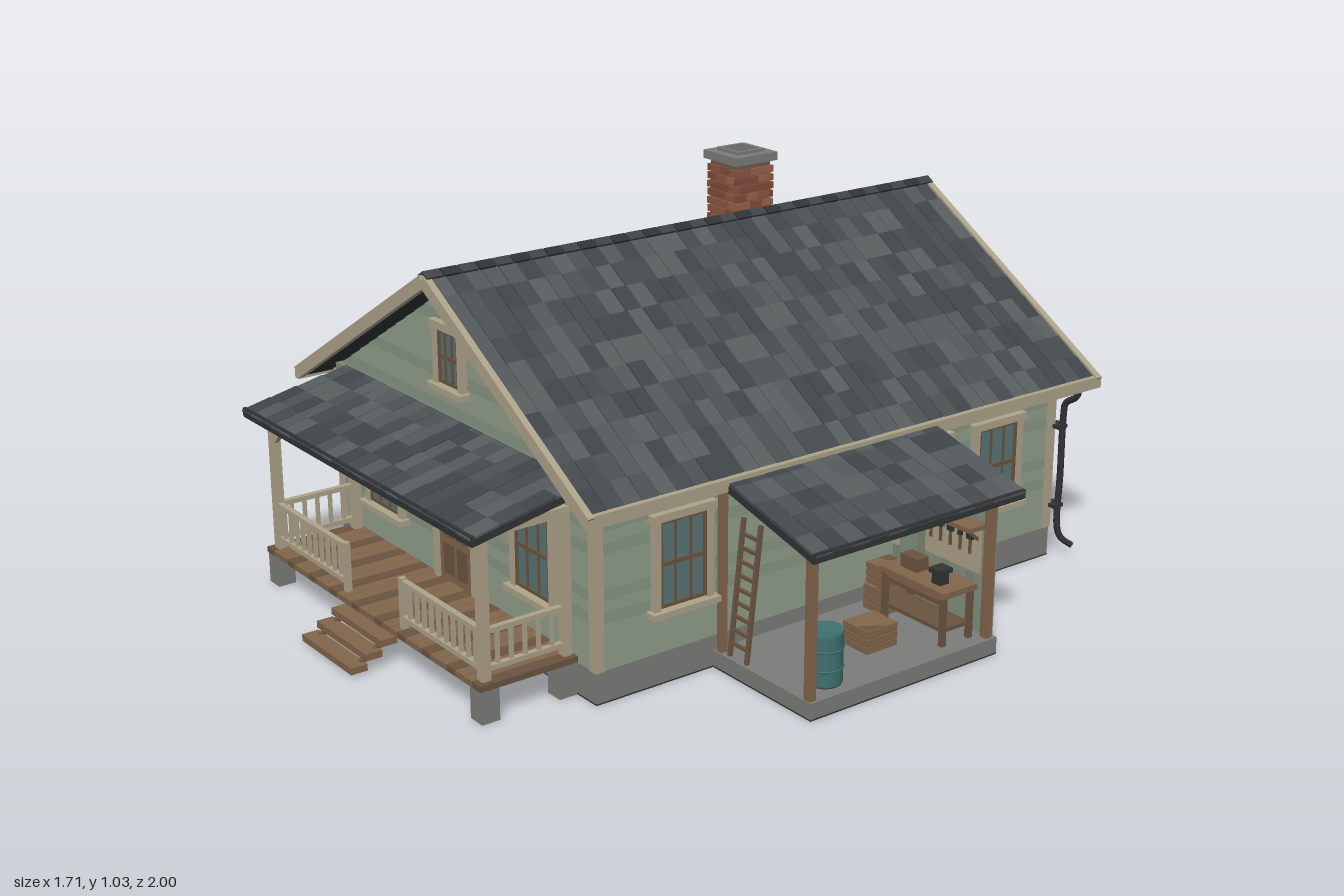
import * as THREE from 'three';
import { mergeGeometries } from 'three/addons/utils/BufferGeometryUtils.js';

const WALL = 0x84917f, WALL_DARK = 0x7b8977, TRIM = 0xada38a, STONE = 0x7c7c79, WOOD = 0x82664b, WOOD_DARK = 0x6a5440;
const GLASS = 0x5a7474, DARK = 0x303335, TEAL = 0x3f706e, MORTAR = 0x6f5a4e;
const SHINGLES = [0x43494c, 0x4a5053, 0x51575a, 0x575c5d, 0x3e4447];
const BRICKS = [0x8f5540, 0x9c6048, 0x824a38];
const CX = -0.16, FRONT = 0.6, BACK = -0.905, HALF = 0.6;

let seed = 7;
const rnd = () => (seed = (seed * 16807) % 2147483647) / 2147483647;
const pick = (list) => list[Math.floor(rnd() * list.length)];
const V = (x, y, z) => new THREE.Vector3(x, y, z);

// box by size and centre
const bx = (w, h, d, x, y, z) => new THREE.BoxGeometry(w, h, d).translate(x, y, z);
// box by its limits
const span = (x0, x1, y0, y1, z0, z1) => bx(x1 - x0, y1 - y0, z1 - z0, (x0 + x1) / 2, (y0 + y1) / 2, (z0 + z1) / 2);
// square bar between two points
function bar(a, b, w, h = w) {
  const m = new THREE.Matrix4().lookAt(a, b, V(0, 1, 0)).setPosition(a.clone().add(b).multiplyScalar(0.5));
  return new THREE.BoxGeometry(w, h, a.distanceTo(b)).applyMatrix4(m);
}

export function createModel() {
  const house = new THREE.Group();
  house.name = 'house';

  // one named group; its pieces are merged by colour
  function part(name, build) {
    const byColor = new Map(), group = new THREE.Group();
    group.name = name;
    build((color, geo) => {
      const g = geo.index ? geo.toNonIndexed() : geo;
      g.deleteAttribute('uv');
      if (!byColor.has(color)) byColor.set(color, []);
      byColor.get(color).push(g);
    });
    for (const [color, list] of byColor) {
      const mesh = new THREE.Mesh(mergeGeometries(list), new THREE.MeshStandardMaterial({ color }));
      mesh.name = name;
      group.add(mesh);
    }
    house.add(group);
    return group;
  }

  // foundation and wall core
  const halfAt = (y) => (y < 0.54 ? HALF : Math.max(0.004, (0.9 - y) / 0.6));
  part('foundation', (add) => {
    add(STONE, span(-0.77, 0.45, 0.004, 0.085, -0.915, 0.61));
    add(DARK, span(-0.77, 0.45, 0, 0.004, -0.915, 0.61));
  });
  part('wallCore', (add) => {
    const s = new THREE.Shape([[-HALF, 0.08], [HALF, 0.08], [HALF, 0.54], [0, 0.9], [-HALF, 0.54]].map(([x, y]) => new THREE.Vector2(x, y)));
    add(WALL_DARK, new THREE.ExtrudeGeometry(s, { depth: FRONT - BACK, bevelEnabled: false }).translate(CX, 0, BACK));
  });

  // lapped siding: each board is thicker at its lower edge
  function board(y0, y1, h0, h1) {
    const s = new THREE.Shape([[-h0, y0], [h0, y0], [h1, y1], [-h1, y1]].map(([x, y]) => new THREE.Vector2(x, y)));
    const g = new THREE.ExtrudeGeometry(s, { depth: 0.008, bevelEnabled: false }), p = g.attributes.position;
    for (let i = 0; i < p.count; i++) if (p.getZ(i) > 0 && p.getY(i) > (y0 + y1) / 2) p.setZ(i, 0.001);
    g.computeVertexNormals();
    return g;
  }
  part('siding', (add) => {
    const step = 0.0296, zMid = (FRONT + BACK) / 2, zHalf = (FRONT - BACK) / 2;
    for (let y = 0.085; y < 0.89; y += step) {
      const y1 = Math.min(y + step, 0.899);
      for (const s of [1, -1]) {
        const tint = rnd() < 0.75 ? WALL : WALL_DARK;
        add(tint, board(y, y1, halfAt(y), halfAt(y1)).rotateY(s > 0 ? 0 : Math.PI).translate(CX, 0, s > 0 ? FRONT : BACK));
        if (y < 0.51) add(tint, board(y, y1, zHalf, zHalf).rotateY(s * Math.PI / 2).translate(CX + s * HALF, 0, zMid));
      }
    }
    for (const z of [FRONT, BACK]) add(WALL_DARK, bx(1.2, 0.018, 0.024, CX, 0.54, z));
  });
  part('cornerBoards', (add) => {
    for (const s of [-1, 1]) for (const z of [FRONT, BACK]) add(TRIM, bx(0.026, 0.445, 0.026, CX + s * HALF, 0.307, z));
  });

  // shingled slope from its upper middle, with directions across and down
  function slope(add, top, across, down, width, length, cols, rows) {
    const up = down.clone().cross(across);
    const m = new THREE.Matrix4().makeBasis(across, up, down).setPosition(top);
    add(DARK, bx(width, 0.018, length, 0, -0.015, length / 2).applyMatrix4(m));
    const w = width / cols, l = length / rows;
    for (let r = 0; r < rows; r++) for (let c = 0; c < cols; c++) {
      const gap = c % 3 === 0 ? 0.005 : 0.0005;
      add(pick(SHINGLES), new THREE.BoxGeometry(w - gap, 0.006, l + 0.004).rotateX(0.03)
        .translate((c + 0.5) * w - width / 2, -0.003 + rnd() * 0.001, (r + 0.5) * l).applyMatrix4(m));
    }
  }
  const R0 = -1.0, R1 = 0.685, RM = (R0 + R1) / 2, ridge = 0.935;
  part('mainRoof', (add) => {
    for (const s of [-1, 1]) {
      const run = V(s * 0.688, -0.413, 0), len = run.length();
      slope(add, V(-0.163, ridge, RM), V(0, 0, -s), run.clone().normalize(), R1 - R0 - 0.03, len, 33, 10);
      // bargeboards and eave fascia
      for (const z of [R0 + 0.009, R1 - 0.009]) add(TRIM, bar(V(-0.163, ridge - 0.012, z), V(-0.163 + s * 0.69, ridge - 0.426, z), 0.018, 0.034));
      add(TRIM, bx(0.02, 0.032, R1 - R0, -0.163 + s * 0.686, 0.51, RM));
    }
    for (let i = 0; i < 33; i++) for (const s of [-1, 1])
      add(i % 2 ? DARK : SHINGLES[4], new THREE.BoxGeometry(0.026, 0.006, 0.047).rotateZ(-s * 0.54).translate(-0.163 + s * 0.009, ridge + 0.004, R0 + 0.026 + i * 0.051));
  });

  // brick chimney with a hollow cap
  part('chimney', (add) => {
    const x = -0.47, z = -0.555, h = 0.024;
    add(MORTAR, span(x - 0.06, x + 0.06, 0.6, 1.003, z - 0.06, z + 0.06));
    for (let r = 0; r < 16; r++) for (let k = 0; k < 4; k++) for (let i = 0; i < 3; i++) {
      const shift = (r % 2) * 0.014 - 0.007;
      add(pick(BRICKS), bx(0.038, h - 0.005, 0.01, (i - 1) * 0.042 + shift, 0.617 + r * h, 0.061).rotateY(k * Math.PI / 2).translate(x, 0, z));
    }
    for (let k = 0; k < 4; k++) add(STONE, bx(0.15, 0.024, 0.03, 0, 1.014, 0.06).rotateY(k * Math.PI / 2).translate(x, 0, z));
    for (let k = 0; k < 4; k++) add(STONE, bx(0.096, 0.012, 0.01, 0, 1.029, 0.043).rotateY(k * Math.PI / 2).translate(x, 0, z));
    add(DARK, bx(0.09, 0.006, 0.09, x, 1.006, z));
  });

  // sash windows
  function sash(name, x, y, z, turn, w, h, cols = 3) {
    const g = part(name, (add) => {
      const t = 0.02, iw = w - 2 * t, ih = h - 2 * t;
      add(GLASS, bx(iw, ih, 0.012, 0, 0, 0.003));
      for (const s of [-1, 1]) {
        add(TRIM, bx(t, h, 0.024, s * (w - t) / 2, 0, 0.006));
        add(WOOD_DARK, bx(0.009, ih, 0.018, s * (iw / 2 - 0.004), 0, 0.005));
        add(WOOD_DARK, bx(iw, 0.009, 0.018, 0, s * (ih / 2 - 0.004), 0.005));
      }
      add(TRIM, bx(w + 0.014, t, 0.028, 0, h / 2 - t / 2, 0.008));
      add(TRIM, bx(w + 0.024, 0.016, 0.04, 0, -h / 2 + 0.008, 0.012));
      add(WOOD_DARK, bx(iw, 0.011, 0.018, 0, 0, 0.005));
      for (let i = 1; i < cols; i++) add(WOOD_DARK, bx(0.006, ih, 0.016, (i / cols - 0.5) * iw, 0, 0.005));
    });
    g.position.set(x, y, z);
    g.rotation.y = turn;
  }
  for (const s of [-1, 1]) {
    sash('frontWindow', CX + s * 0.356, 0.317, FRONT + 0.004, 0, 0.19, 0.265);
    sash('backWindow', CX + s * 0.33, 0.317, BACK - 0.004, Math.PI, 0.19, 0.265);
    sash('gableWindow', -0.163, 0.712, s > 0 ? FRONT + 0.004 : BACK - 0.004, s > 0 ? 0 : Math.PI, 0.135, 0.18);
    for (const z of s > 0 ? [0.355, -0.43, -0.695] : [0.335, -0.36, -0.695])
      sash('sideWindow', CX + s * (HALF + 0.004), 0.317, z, s * Math.PI / 2, 0.18, 0.265);
  }

  // panelled front door
  part('frontDoor', (add) => {
    const z = FRONT + 0.008;
    add(WOOD, bx(0.155, 0.335, 0.016, CX, 0.265, z));
    for (const s of [-1, 1]) {
      add(TRIM, bx(0.022, 0.36, 0.03, CX + s * 0.09, 0.277, z));
      add(GLASS, bx(0.045, 0.105, 0.006, CX + s * 0.032, 0.355, z + 0.008));
      add(WOOD_DARK, bx(0.045, 0.055, 0.008, CX + s * 0.032, 0.255, z + 0.008));
      add(WOOD_DARK, bx(0.045, 0.085, 0.008, CX + s * 0.032, 0.165, z + 0.008));
    }
    add(TRIM, bx(0.212, 0.024, 0.034, CX, 0.449, z));
    add(DARK, new THREE.SphereGeometry(0.008, 12, 8).translate(CX + 0.064, 0.262, z + 0.016));
  });

  // porch deck, posts, railings, steps and roof
  const PW = 0.505, PZ = 0.855;
  part('porchDeck', (add) => {
    for (let i = 0; i < 28; i++) add(i % 3 ? WOOD : WOOD_DARK, bx(0.036, 0.016, 0.275, CX + (i - 13.5) * 0.038, 0.093, 0.745));
    for (const z of [0.63, PZ]) add(WOOD_DARK, bx(1.04, 0.016, 0.02, CX, 0.077, z));
    for (const s of [-1, 1]) for (const z of [0.636, PZ]) add(STONE, bx(0.05, 0.086, 0.05, CX + s * PW, 0.043, z));
  });
  part('porchFrame', (add) => {
    for (const s of [-1, 1]) {
      const x = CX + s * PW;
      for (const z of [0.625, PZ]) add(TRIM, span(x - 0.012, x + 0.012, 0.1, 0.475, z - 0.012, z + 0.012));
      add(TRIM, bar(V(x, 0.4, PZ), V(x - s * 0.065, 0.462, PZ), 0.014));
      add(TRIM, bx(0.02, 0.024, 0.25, x, 0.471, 0.74));
    }
    add(TRIM, bx(1.06, 0.024, 0.022, CX, 0.47, PZ));
  });
  part('porchRailing', (add) => {
    const run = (a, b, n) => {
      for (const y of [0.13, 0.225]) add(TRIM, bar(V(a[0], y, a[1]), V(b[0], y, b[1]), 0.016, 0.013));
      for (let i = 1; i <= n; i++) {
        const t = i / (n + 1);
        add(TRIM, bx(0.009, 0.09, 0.009, a[0] + (b[0] - a[0]) * t, 0.178, a[1] + (b[1] - a[1]) * t));
      }
    };
    for (const s of [-1, 1]) {
      run([CX + s * PW, PZ], [CX + s * 0.14, PZ], 10);
      run([CX + s * PW, PZ], [CX + s * PW, 0.625], 5);
      add(TRIM, bx(0.016, 0.135, 0.016, CX + s * 0.14, 0.168, PZ));
    }
  });
  part('porchSteps', (add) => {
    for (let i = 0; i < 3; i++) add(WOOD, bx(0.25, 0.018, 0.046, CX, 0.017 + i * 0.025, 0.977 - i * 0.043));
    for (const s of [-1, 1]) add(WOOD_DARK, bar(V(CX + s * 0.1, 0.008, 0.985), V(CX + s * 0.1, 0.068, 0.88), 0.014, 0.012));
  });
  part('porchRoof', (add) => {
    const run = V(0, -0.06, 0.315);
    slope(add, V(CX, 0.55, 0.6), V(1, 0, 0), run.clone().normalize(), 1.12, run.length(), 21, 4);
    add(DARK, bx(1.12, 0.022, 0.01, CX, 0.482, 0.908));
  });

  // lean-to workshop
  part('workshopShell', (add) => {
    add(STONE, span(0.45, 0.82, 0.004, 0.046, -0.35, 0.258));
    add(DARK, span(0.45, 0.82, 0, 0.004, -0.35, 0.258));
    for (let i = 0; i < 12; i++) add(i % 3 ? WALL : WALL_DARK, span(0.45 + i * 0.03, 0.479 + i * 0.03, 0.046, 0.505 - i * 0.0078, -0.346, -0.334));
    for (const z of [-0.33, 0.245]) add(WOOD, span(0.79, 0.812, 0.046, 0.43, z - 0.01, z + 0.01));
    add(WOOD, span(0.46, 0.478, 0.046, 0.5, 0.236, 0.254));
    add(WOOD_DARK, bx(0.02, 0.022, 0.6, 0.8, 0.424, -0.045));
  });
  part('workshopRoof', (add) => {
    const run = V(0.37, -0.092, 0);
    slope(add, V(0.48, 0.528, -0.058), V(0, 0, -1), run.clone().normalize(), 0.675, run.length(), 12, 5);
    add(DARK, bx(0.01, 0.022, 0.675, 0.845, 0.428, -0.058));
  });
  part('ladder', (add) => {
    for (const x of [0.5, 0.565]) add(WOOD_DARK, bar(V(x, 0.046, 0.245), V(x, 0.4, 0.205), 0.01));
    for (let i = 1; i < 10; i++) add(WOOD_DARK, bx(0.065, 0.008, 0.008, 0.532, 0.046 + i * 0.035, 0.245 - i * 0.004));
  });
  part('barrel', (add) => {
    const r = [[0, 0], [0.042, 0], [0.045, 0.006], [0.045, 0.13], [0.047, 0.134], [0.044, 0.14], [0.04, 0.134], [0, 0.134]];
    add(TEAL, new THREE.LatheGeometry(r.map(([x, y]) => new THREE.Vector2(x, y)), 24).translate(0.748, 0.046, 0.155));
    for (const y of [0.09, 0.14]) add(TEAL, new THREE.TorusGeometry(0.045, 0.003, 6, 24).rotateX(Math.PI / 2).translate(0.748, y, 0.155));
  });

  // slatted crates
  const crate = (add, w, h, d, x, y, z) => {
    add(WOOD_DARK, bx(w - 0.006, h - 0.004, d - 0.006, x, y + h / 2, z));
    for (let i = 0; i < 3; i++) add(WOOD, bx(w, h / 3 - 0.004, d, x, y + h * (i + 0.5) / 3, z));
  };
  part('crates', (add) => {
    crate(add, 0.09, 0.065, 0.1, 0.66, 0.046, -0.07);
    crate(add, 0.075, 0.07, 0.09, 0.52, 0.046, -0.25);
    crate(add, 0.07, 0.06, 0.08, 0.52, 0.116, -0.25);
    crate(add, 0.06, 0.06, 0.045, 0.53, 0.27, -0.308);
    crate(add, 0.055, 0.05, 0.045, 0.61, 0.343, -0.308);
    crate(add, 0.055, 0.042, 0.045, 0.698, 0.343, -0.308);
  });
  part('workbench', (add) => {
    add(WOOD, bx(0.235, 0.016, 0.115, 0.67, 0.184, -0.25));
    for (const x of [0.565, 0.775]) for (const z of [-0.295, -0.205]) add(WOOD_DARK, bx(0.014, 0.13, 0.014, x, 0.111, z));
    add(WOOD_DARK, bx(0.21, 0.012, 0.012, 0.67, 0.16, -0.205));
    add(WOOD_DARK, bx(0.21, 0.01, 0.09, 0.67, 0.085, -0.25));
    // vise and small tool box
    add(DARK, bx(0.03, 0.03, 0.03, 0.73, 0.207, -0.235));
    add(DARK, bx(0.04, 0.012, 0.045, 0.73, 0.228, -0.235));
    add(WOOD_DARK, bx(0.06, 0.035, 0.04, 0.62, 0.21, -0.25));
  });
  part('shelvesAndTools', (add) => {
    add(WOOD, bx(0.29, 0.012, 0.06, 0.64, 0.337, -0.304));
    add(WOOD, bx(0.075, 0.01, 0.06, 0.53, 0.265, -0.304));
    for (const x of [0.52, 0.64, 0.76]) add(WOOD_DARK, bar(V(x, 0.295, -0.33), V(x, 0.331, -0.285), 0.008));
    add(TRIM, span(0.575, 0.77, 0.205, 0.325, -0.334, -0.328));
    for (let i = 0; i < 5; i++) {
      add(WOOD_DARK, bx(0.006, 0.045, 0.006, 0.6 + i * 0.035, 0.275, -0.323));
      add(DARK, bx(0.02 - (i % 2) * 0.008, 0.013, 0.009, 0.6 + i * 0.035, 0.298, -0.322));
    }
  });

  // downpipes at the back corners
  for (const s of [-1, 1]) part('downpipe', (add) => {
    const pts = [[0.675, 0.505], [0.67, 0.475], [0.63, 0.445], [0.625, 0.41], [0.625, 0.24], [0.625, 0.08], [0.632, 0.05], [0.655, 0.03]];
    const path = new THREE.CatmullRomCurve3(pts.map(([x, y]) => V(CX + s * x, y, y < 0.06 ? -0.965 + (y - 0.03) : -0.935)));
    add(DARK, new THREE.TubeGeometry(path, 40, 0.009, 8));
    for (const y of [0.15, 0.38]) add(DARK, bx(0.04, 0.01, 0.035, CX + s * 0.615, y, -0.925));
  });

  return house;
}
